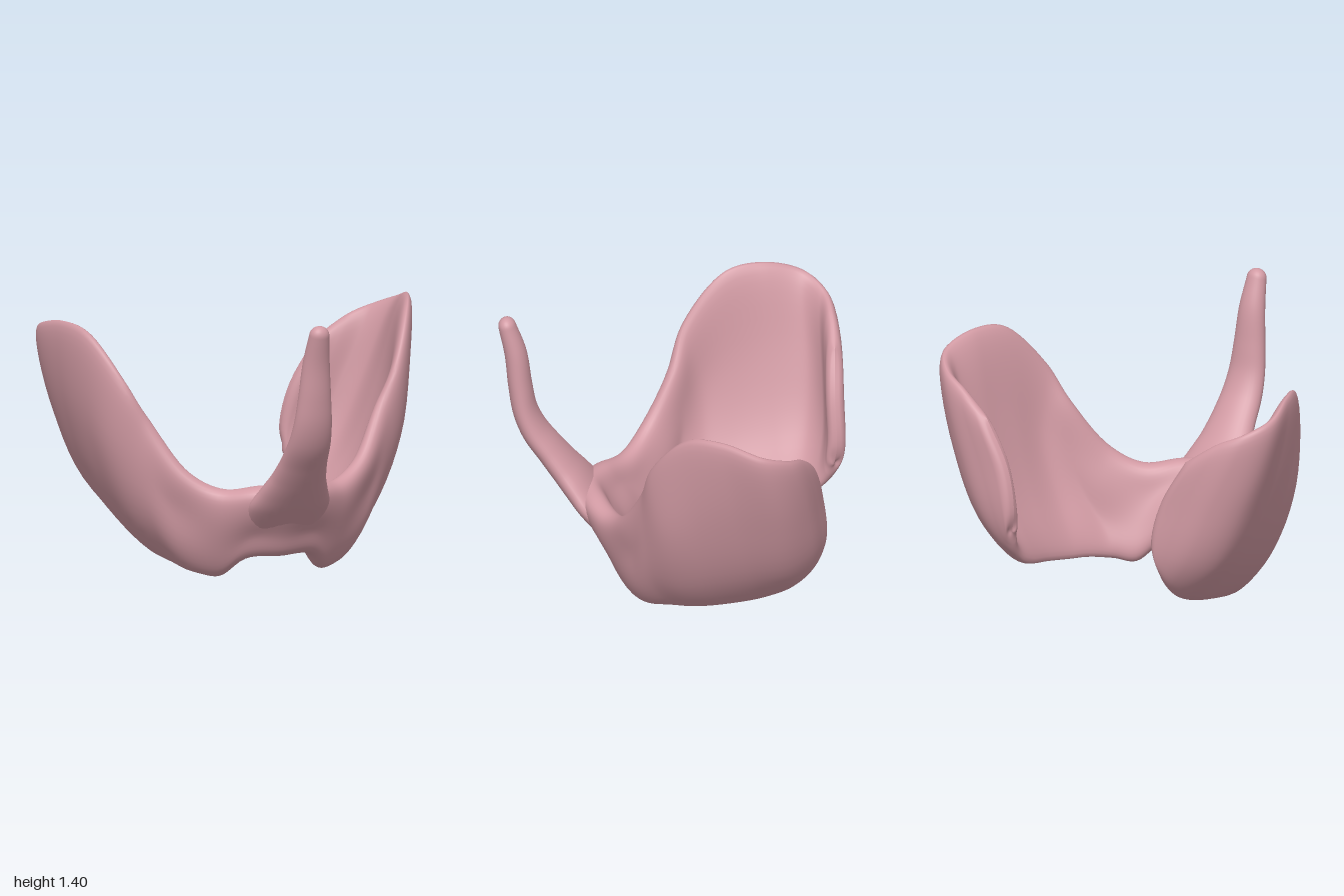
import * as THREE from 'three';

const V = (x, y, z) => new THREE.Vector3(x, y, z);

// Skin a list of closed rings; rings run counter-clockwise about the loft direction
function loft(rings) {
  const n = rings[0].length, pos = [], idx = [];
  rings.forEach(r => r.forEach(p => pos.push(p.x, p.y, p.z)));
  for (let i = 0; i < rings.length - 1; i++) {
    for (let j = 0; j < n; j++) {
      const a = i * n + j, b = i * n + (j + 1) % n;
      idx.push(a, b, a + n, b, b + n, a + n);
    }
  }
  const g = new THREE.BufferGeometry();
  g.setAttribute('position', new THREE.Float32BufferAttribute(pos, 3));
  g.setIndex(idx);
  g.computeVertexNormals();
  return g;
}

// Half of the curved sheet, centre to back flap.
// Four lines running along it: lower edge, lower middle, upper middle, upper edge
const lines = [
  [[0, .115, .235], [.15, .11, .21], [.26, .005, .1], [.36, .02, .04], [.43, .05, -.08], [.465, .07, -.2],
    [.485, .11, -.38], [.475, .15, -.54], [.46, .2, -.65], [.45, .26, -.72], [.44, .33, -.77], [.43, .41, -.795]],
  [[0, .25, .28], [.15, .25, .25], [.29, .17, .17], [.45, .2, .08], [.56, .3, 0], [.63, .32, -.12],
    [.675, .38, -.3], [.69, .42, -.48], [.68, .45, -.66], [.6, .48, -.755], [.5, .5, -.79], [.41, .53, -.81]],
  [[0, .38, .36], [.16, .37, .32], [.31, .33, .225], [.48, .4, .1], [.625, .55, .02], [.74, .65, -.08],
    [.8, .75, -.25], [.835, .8, -.43], [.835, .8, -.64], [.73, .78, -.74], [.6, .76, -.775], [.455, .74, -.795]],
  [[0, .5, .43], [.16, .495, .365], [.315, .475, .255], [.47, .56, .175], [.625, .82, .045], [.73, 1, 0],
    [.86, 1.235, -.19], [.93, 1.265, -.37], [.97, 1.215, -.57], [.89, 1.16, -.69], [.76, 1.1, -.745], [.59, .98, -.78]],
];
const halfThickness = [.072, .07, .065, .058, .052, .05, .05, .05, .05, .048, .047, .045];

function wingSheet() {
  const last = halfThickness.length - 1;
  // Mirror each line to span both sides
  const curves = lines.map(l => new THREE.CatmullRomCurve3([
    ...l.slice(1).reverse().map(([x, y, z]) => V(-x, y, z)), ...l.map(p => V(...p))]));
  const section = u => new THREE.CatmullRomCurve3(
    curves.map(c => c.getPoint(THREE.MathUtils.clamp(u, 0, 1))));
  const rings = [], steps = 220, sides = 48;
  for (let i = 0; i <= steps; i++) {
    // Bunch the sections toward both free edges
    const s = i / steps, u = s - Math.sin(s * Math.PI * 2) * .09;
    const d = Math.abs(2 * u - 1) * last, k = Math.min(Math.floor(d), last - 1);
    let t = THREE.MathUtils.lerp(halfThickness[k], halfThickness[k + 1], d - k);
    const e = Math.min((last - d) / .4, 1);
    t *= Math.sqrt(Math.max(0, 1 - (1 - e) ** 2));
    const mid = section(u), before = section(u - .004), after = section(u + .004);
    const ring = [];
    for (let j = 0; j < sides; j++) {
      const a = j / sides * Math.PI * 2, c = Math.cos(a), v = .5 + .5 * c;
      const du = after.getPoint(v).sub(before.getPoint(v));
      const normal = du.cross(mid.getTangent(v)).normalize();
      const w = t * Math.sqrt(Math.max(0, 1 - c ** 6)) * Math.sign(Math.sin(a));
      ring.push(mid.getPoint(v).addScaledVector(normal, w));
    }
    rings.push(ring);
  }
  return loft(rings);
}

// Tapered prong rising out of the bridge: y, z, half width, half depth
const prongStations = [
  [.2, .25, .13, .03], [.3, .32, .2, .055], [.4, .39, .215, .07], [.49, .46, .18, .075],
  [.57, .525, .146, .073], [.66, .595, .125, .069], [.77, .675, .112, .066], [.88, .722, .1, .062],
  [1.02, .747, .086, .06], [1.2, .77, .07, .056], [1.35, .812, .052, .045],
];
function prong() {
  const path = new THREE.CatmullRomCurve3(prongStations.map(([y, z]) => V(0, y, z)));
  const size = new THREE.CatmullRomCurve3(prongStations.map(([, , w, d]) => V(w, d, 0)));
  const rings = [], steps = 60, sides = 32, X = V(1, 0, 0);
  const addRing = (centre, tangent, w, d) => {
    const N = tangent.clone().cross(X);
    rings.push(Array.from({ length: sides }, (_, j) => {
      const a = j / sides * Math.PI * 2;
      return centre.clone().addScaledVector(X, w * Math.cos(a)).addScaledVector(N, d * Math.sin(a));
    }));
  };
  for (let i = 0; i <= steps; i++) {
    const s = size.getPoint(i / steps);
    addRing(path.getPoint(i / steps), path.getTangent(i / steps), s.x, s.y);
  }
  // Rounded tip
  const tip = path.getPoint(1), dir = path.getTangent(1), [, , w, d] = prongStations.at(-1);
  for (let i = 1; i <= 8; i++) {
    const a = i / 8 * Math.PI / 2;
    addRing(tip.clone().addScaledVector(dir, .05 * Math.sin(a)), dir, w * Math.cos(a), d * Math.cos(a));
  }
  return loft(rings);
}

export function createModel() {
  const group = new THREE.Group();
  group.name = 'wingedSaddle';
  const material = new THREE.MeshStandardMaterial({ color: 0xd19aa3 });
  const add = (name, geometry) => {
    const mesh = new THREE.Mesh(geometry, material);
    mesh.name = name;
    group.add(mesh);
  };
  add('bridgeAndWings', wingSheet());
  add('centralProng', prong());
  return group;
}
